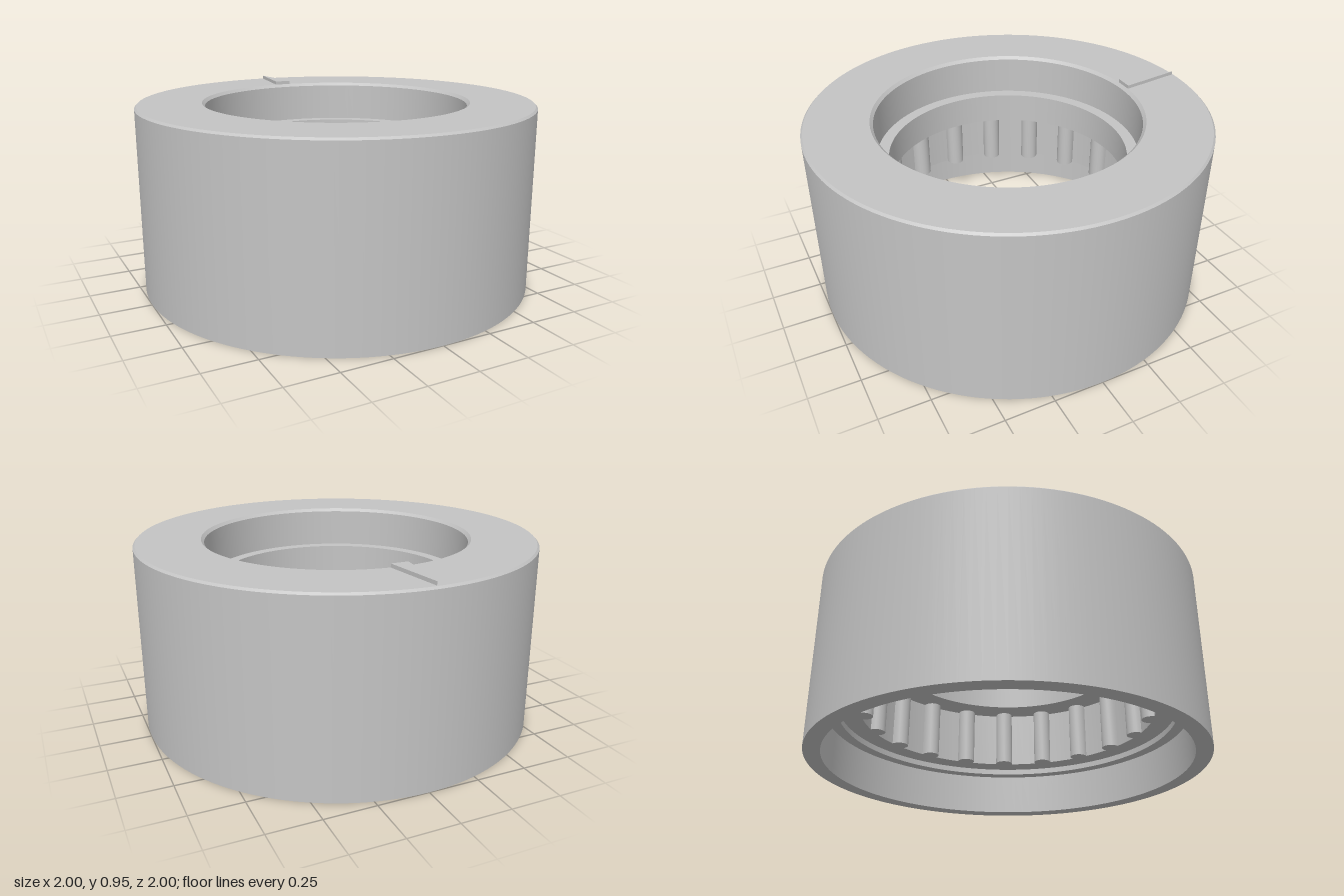
import * as THREE from 'three';
import { mergeGeometries, toCreasedNormals } from 'three/addons/utils/BufferGeometryUtils.js';

const TEETH = 20;
const ROOT = 0.75, TOOTH_R = 0.047, TOOTH_CENTRE = 0.737;

// Revolve each profile step on its own so that the edges stay sharp
function sharpLathe(profile, segments) {
  const bands = profile.slice(1).map((p, i) => new THREE.LatheGeometry(
    [new THREE.Vector2(...profile[i]), new THREE.Vector2(...p)], segments));
  return mergeGeometries(bands);
}

// Inner outline of the splined ring: root arcs joined by rounded teeth
function toothedOutline() {
  const pts = [];
  const pitch = (Math.PI * 2) / TEETH;
  const half = Math.asin(TOOTH_R / ROOT);
  for (let k = 0; k < TEETH; k++) {
    const a = k * pitch, c = Math.cos(a), s = Math.sin(a);
    for (let i = 0; i <= 10; i++) {
      const t = -Math.PI / 2 + (i / 10) * Math.PI;
      const r = TOOTH_CENTRE - TOOTH_R * Math.cos(t), w = TOOTH_R * Math.sin(t);
      pts.push(new THREE.Vector2(r * c - w * s, r * s + w * c));
    }
    for (let i = 0; i <= 4; i++) {
      const b = a + half + (i / 4) * (pitch - 2 * half);
      pts.push(new THREE.Vector2(ROOT * Math.cos(b), ROOT * Math.sin(b)));
    }
  }
  return pts;
}

// Extrude a flat shape upwards from height y
function extrudeUp(shape, y, height) {
  const geo = new THREE.ExtrudeGeometry(shape, { depth: height, bevelEnabled: false, curveSegments: 64 });
  geo.rotateX(-Math.PI / 2);
  geo.translate(0, y, 0);
  return toCreasedNormals(geo, 0.6);
}

export function createModel() {
  const model = new THREE.Group();
  model.name = 'splinedKnob';
  const grey = new THREE.MeshStandardMaterial({ color: 0xc4c4c4 });
  grey.name = 'light grey';

  const add = (name, geo) => {
    const mesh = new THREE.Mesh(geo, grey);
    mesh.name = name;
    model.add(mesh);
  };

  // Hollow body: outer wall, chamfered top, stepped bore and bottom recess
  add('body', sharpLathe([
    [1, 0], [1, 0.92], [0.99, 0.93], [0.675, 0.93], [0.66, 0.915],
    [0.66, 0.72], [0.6, 0.72], [0.6, 0.56], [0.855, 0.56],
    [0.855, 0.22], [0.917, 0.22], [0.917, 0], [1, 0],
  ], 128));

  // Ring with rounded inner teeth, set inside the lower bore
  const ring = new THREE.Shape().absarc(0, 0, 0.856, 0, Math.PI * 2, false);
  ring.holes.push(new THREE.Path(toothedOutline()));
  add('splineRing', extrudeUp(ring, 0.25, 0.31));

  // Raised pointer on the top face, aimed at the back
  const pointer = new THREE.Shape([
    new THREE.Vector2(-0.043, 0.675), new THREE.Vector2(0.043, 0.675), new THREE.Vector2(0, 0.985),
  ]);
  add('pointer', extrudeUp(pointer, 0.92, 0.028));

  return model;
}
